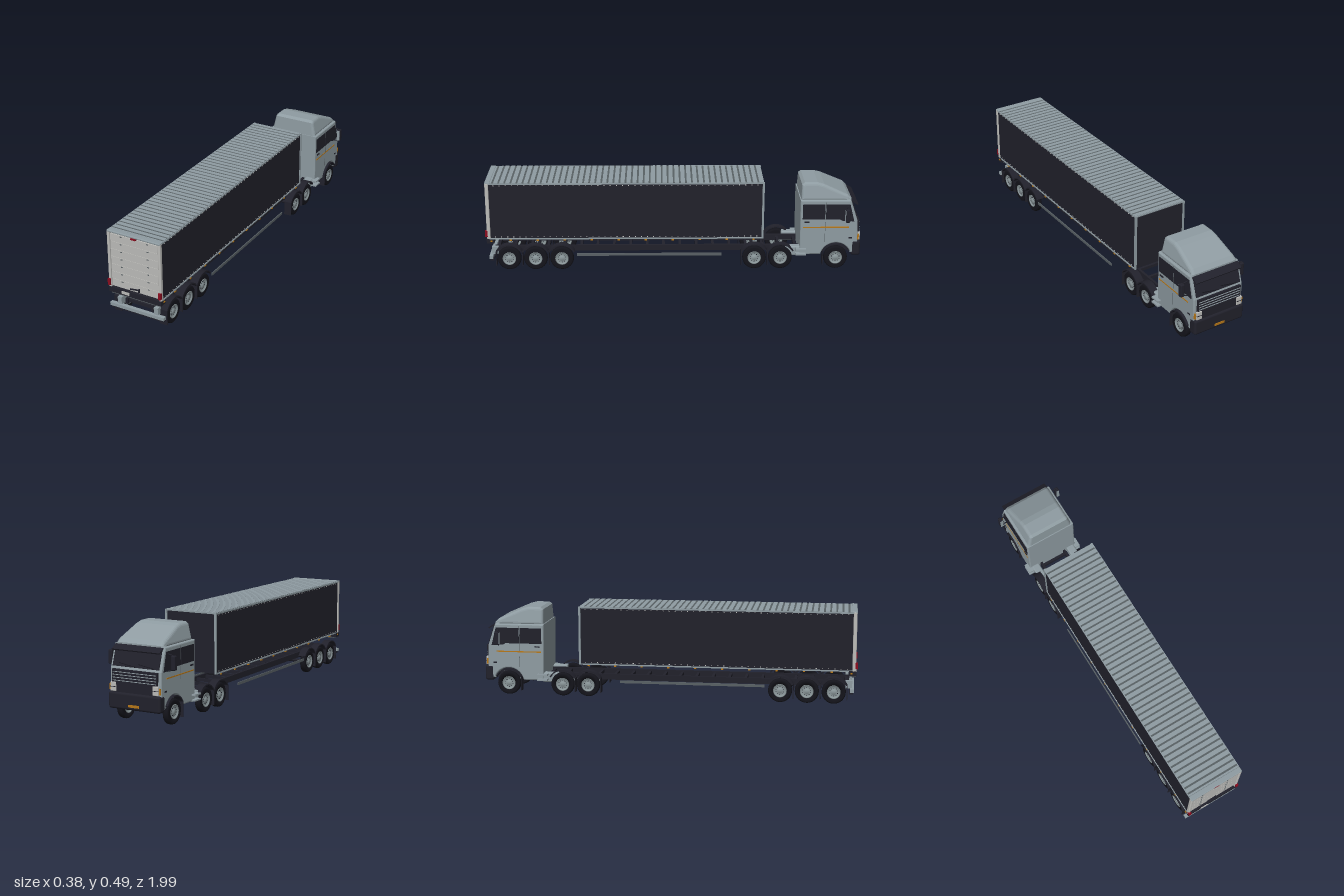
import * as THREE from 'three';
import { RoundedBoxGeometry } from 'three/addons/geometries/RoundedBoxGeometry.js';

const mat = (name, color, side = THREE.FrontSide) => {
  const m = new THREE.MeshStandardMaterial({ color, side });
  m.name = name;
  return m;
};

export function createModel() {
  const paint = mat('greyBluePaint', 0x8f9ca2);
  const dark = mat('darkPanel', 0x21212b);
  const rubber = mat('rubber', 0x14141b);
  const pale = mat('paleDoor', 0xbcbcb9);
  const metal = mat('wheelMetal', 0x8b979a);
  const trim = mat('trimGrey', 0x596165);
  const red = mat('redLamp', 0x8c0c1e);
  const orange = mat('orangeMarker', 0xb87818);

  const root = new THREE.Group();
  root.name = 'articulatedTruck';
  const group = (name) => {
    const g = new THREE.Group();
    g.name = name;
    root.add(g);
    return g;
  };
  const add = (parent, name, geo, material) => {
    const m = new THREE.Mesh(geo, material);
    m.name = name;
    parent.add(m);
    return m;
  };
  // Box given by its limits on each axis
  const box = (parent, name, material, x0, x1, y0, y1, z0, z1, round = 0) => {
    const s = [Math.abs(x1 - x0), y1 - y0, z1 - z0];
    const geo = round ? new RoundedBoxGeometry(...s, 3, round) : new THREE.BoxGeometry(...s);
    const m = add(parent, name, geo, material);
    m.position.set((x0 + x1) / 2, (y0 + y1) / 2, (z0 + z1) / 2);
    return m;
  };
  // Side profile in (z, y), extruded across x
  const acrossX = (shape, width, bevel = 0, segments = 3) => {
    const depth = width - 2 * bevel;
    const geo = new THREE.ExtrudeGeometry(shape, {
      depth, bevelEnabled: bevel > 0, bevelSize: bevel, bevelThickness: bevel,
      bevelOffset: -bevel, bevelSegments: segments, curveSegments: 20,
    });
    return geo.translate(0, 0, -depth / 2).rotateY(-Math.PI / 2);
  };
  const poly = (pts) => new THREE.Shape(pts.map(([z, y]) => new THREE.Vector2(z, y)));
  const rod = (parent, name, material, a, b, r) => {
    const p = new THREE.Vector3(...a), q = new THREE.Vector3(...b);
    const m = add(parent, name, new THREE.CylinderGeometry(r, r, p.distanceTo(q), 8), material);
    m.position.copy(p).add(q).multiplyScalar(0.5);
    m.quaternion.setFromUnitVectors(new THREE.Vector3(0, 1, 0), q.sub(p).normalize());
  };
  const sides = [-1, 1];

  // Cargo box
  const cargo = group('cargoBox');
  box(cargo, 'cargoBody', dark, -0.146, 0.146, 0.177, 0.484, -0.478, 0.965);
  box(cargo, 'roof', paint, -0.149, 0.149, 0.48, 0.487, -0.48, 0.97);
  for (let i = 0; i < 46; i++) {
    const z = -0.465 + i * 0.0316;
    box(cargo, 'roofRib', paint, -0.146, 0.146, 0.486, 0.489, z - 0.011, z + 0.011);
    box(cargo, 'roofGroove', trim, -0.146, 0.146, 0.486, 0.4875, z + 0.011, z + 0.0206);
  }
  for (const s of sides) {
    box(cargo, 'upperRail', paint, s * 0.144, s * 0.15, 0.479, 0.487, -0.48, 0.97);
    box(cargo, 'lowerRail', paint, s * 0.144, s * 0.15, 0.174, 0.181, -0.48, 0.97);
    box(cargo, 'frontPost', paint, s * 0.14, s * 0.15, 0.175, 0.487, -0.483, -0.472);
    box(cargo, 'rearPost', pale, s * 0.136, s * 0.151, 0.175, 0.488, 0.963, 0.983, 0.005);
    box(cargo, 'tailLamp', red, s * 0.138, s * 0.151, 0.19, 0.224, 0.975, 0.992);
    box(cargo, 'rearMarker', orange, s * 0.148, s * 0.154, 0.163, 0.17, 0.955, 0.965);
    for (let i = 0; i < 44; i++) {
      const z = -0.45 + i * 0.0322;
      box(cargo, 'upperBuckle', pale, s * 0.146, s * 0.148, 0.472, 0.475, z, z + 0.006);
      box(cargo, 'lowerBuckle', pale, s * 0.146, s * 0.148, 0.186, 0.189, z, z + 0.006);
    }
    for (let i = 0; i < 10; i++) {
      const z = -0.43 + i * 0.143;
      box(cargo, 'sideMarker', orange, s * 0.145, s * 0.1515, 0.167, 0.174, z - 0.006, z + 0.006);
    }
  }
  box(cargo, 'rearHeader', paint, -0.15, 0.15, 0.48, 0.491, 0.955, 0.984, 0.004);

  // Roller door at the rear
  for (let i = 0; i < 7; i++) {
    const y = 0.183 + i * 0.0413;
    box(cargo, 'doorSlat', pale, -0.136, 0.136, y, y + 0.0398, 0.96, 0.974);
    for (const s of sides) box(cargo, 'doorHinge', trim, s * 0.071, s * 0.08, y + 0.032, y + 0.036, 0.973, 0.977);
  }
  box(cargo, 'topLamp', red, -0.014, 0.014, 0.471, 0.479, 0.97, 0.984);
  box(cargo, 'lockBar', dark, -0.03, 0.02, 0.194, 0.199, 0.974, 0.981).rotation.z = 0.12;
  box(cargo, 'lockPlate', dark, 0.018, 0.024, 0.188, 0.206, 0.974, 0.983);
  box(cargo, 'rearSill', dark, -0.15, 0.15, 0.152, 0.179, 0.945, 0.985);
  box(cargo, 'sillStep', trim, -0.135, 0.135, 0.146, 0.152, 0.95, 0.982);
  box(cargo, 'rearPlate', pale, -0.075, -0.031, 0.159, 0.174, 0.984, 0.988);

  // Ladder chassis
  const chassis = group('chassis');
  for (const s of sides) {
    box(chassis, 'frameRail', dark, s * 0.067, s * 0.08, 0.082, 0.113, -0.95, 0.95);
    box(chassis, 'sideGuard', trim, s * 0.147, s * 0.152, 0.08, 0.094, -0.26, 0.51);
    box(chassis, 'bumperBracket', paint, s * 0.093, s * 0.116, 0.078, 0.119, 0.93, 0.965);
    box(chassis, 'fuelTank', paint, s * 0.09, s * 0.135, 0.07, 0.122, -0.69, -0.6, 0.008);
    for (const y of [0.086, 0.113]) box(chassis, 'sideStep', paint, s * 0.13, s * 0.165, y - 0.004, y + 0.004, -0.71, -0.655);
  }
  for (let i = 0; i < 19; i++) {
    const z = -0.66 + i * 0.0885;
    box(chassis, 'crossMember', dark, -0.07, 0.07, 0.09, 0.106, z - 0.007, z + 0.007);
  }
  box(chassis, 'rearBumper', paint, -0.155, 0.155, 0.065, 0.082, 0.955, 0.975);
  box(chassis, 'bumperUnderside', dark, -0.15, 0.15, 0.055, 0.066, 0.95, 0.97);

  // Wheels with fenders, mud flaps and axles
  const tyreGeo = new THREE.LatheGeometry([
    [0.034, -0.015], [0.055, -0.0165], [0.061, -0.013], [0.063, -0.006], [0.063, 0.006],
    [0.061, 0.013], [0.055, 0.0165], [0.034, 0.015], [0.034, -0.015],
  ].map(([r, h]) => new THREE.Vector2(r, h)), 32).rotateZ(Math.PI / 2);
  const rimGeo = new THREE.LatheGeometry([
    [0, -0.016], [0.012, -0.016], [0.014, -0.01], [0.028, -0.011], [0.032, -0.0165], [0.036, -0.0165],
    [0.036, 0.0165], [0.032, 0.0165], [0.028, 0.011], [0.014, 0.01], [0.012, 0.016], [0, 0.016],
  ].map(([r, h]) => new THREE.Vector2(r, h)), 28).rotateZ(Math.PI / 2);
  const boltGeo = new THREE.CylinderGeometry(0.0022, 0.0022, 0.025, 6).rotateZ(Math.PI / 2);
  const a0 = Math.PI / 6, a1 = Math.PI - a0;
  const arc = new THREE.Shape();
  arc.absarc(0, 0, 0.08, a0, a1, false);
  arc.absarc(0, 0, 0.074, a1, a0, true);
  const fenderGeo = acrossX(arc, 0.042);
  for (const z of [0.87, 0.73, 0.59, -0.436, -0.575, -0.87]) {
    const axle = group('axleSet');
    axle.position.set(0, 0.063, z);
    rod(axle, 'axle', dark, [-0.13, 0, 0], [0.13, 0, 0], 0.009);
    for (const s of sides) {
      const wheel = new THREE.Group();
      wheel.name = 'wheel';
      wheel.position.x = s * 0.131;
      axle.add(wheel);
      add(wheel, 'tyre', tyreGeo, rubber);
      add(wheel, 'rim', rimGeo, metal);
      for (let i = 0; i < 10; i++) {
        const a = i * Math.PI / 5;
        add(wheel, 'wheelBolt', boltGeo, dark).position.set(0, 0.021 * Math.cos(a), 0.021 * Math.sin(a));
      }
      add(axle, 'fender', fenderGeo, dark).position.x = s * 0.132;
      box(axle, 'mudFlap', dark, s * 0.111, s * 0.153, -0.04, 0.04, 0.067, 0.071);
    }
  }

  // Cab body with wheel arches
  const cab = group('cab');
  const body = poly([[-0.678, 0.08], [-0.675, 0.385], [-0.942, 0.385], [-0.98, 0.27], [-0.987, 0.09], [-0.948, 0.09]]);
  body.absarc(-0.87, 0.064, 0.082, Math.PI - 0.3, 0.2, true);
  add(cab, 'cabBody', acrossX(body, 0.29, 0.007), paint);

  // Roof fairing, narrowing upwards and forwards
  const fairing = acrossX(poly([[-0.68, 0.38], [-0.683, 0.462], [-0.697, 0.474], [-0.765, 0.474],
    [-0.8, 0.465], [-0.925, 0.41], [-0.945, 0.39], [-0.945, 0.38]]), 0.272, 0.016, 4);
  const p = fairing.attributes.position;
  for (let i = 0; i < p.count; i++) p.setX(i, p.getX(i) * (1 - 1.6 * (p.getY(i) - 0.38)));
  fairing.computeVertexNormals();
  add(cab, 'roofFairing', fairing, paint);

  // Windscreen, visor and wipers lie along the sloped front
  const front = new THREE.Group();
  front.name = 'windscreenAssembly';
  front.position.set(0, 0.3275, -0.962);
  front.rotation.x = Math.atan2(0.038, 0.115);
  cab.add(front);
  box(front, 'windscreen', dark, -0.131, 0.131, -0.05, 0.05, -0.004, 0.003);
  for (const x of [-0.06, 0.05]) box(front, 'wiper', rubber, x - 0.045, x + 0.045, -0.042, -0.039, -0.008, -0.004).rotation.z = 0.15;
  const visor = box(cab, 'sunVisor', dark, -0.135, 0.135, 0.366, 0.373, -0.982, -0.942);
  visor.rotation.x = -0.55;

  // Grille, bumper and front lamps
  box(cab, 'grille', dark, -0.128, 0.128, 0.155, 0.268, -0.992, -0.975);
  for (const y of [0.212, 0.226, 0.24, 0.254]) box(cab, 'grilleBar', paint, -0.122, 0.122, y, y + 0.003, -0.995, -0.99);
  box(cab, 'frontBumper', dark, -0.147, 0.147, 0.075, 0.158, -1, -0.952, 0.012);
  box(cab, 'frontPlate', orange, -0.03, 0.03, 0.09, 0.103, -1.002, -0.998);
  for (const s of sides) {
    box(cab, 'headlamp', pale, s * 0.104, s * 0.136, 0.16, 0.205, -0.997, -0.985, 0.003);
    box(cab, 'headlampDivider', dark, s * 0.104, s * 0.136, 0.181, 0.184, -0.9985, -0.99);
    box(cab, 'turnLamp', orange, s * 0.137, s * 0.144, 0.165, 0.195, -0.99, -0.982);

    // Side windows and door details
    const pane = (name, pts) => {
      add(cab, name, acrossX(poly(pts), 0.004), dark).position.x = s * 0.1445;
    };
    pane('rearSideWindow', [[-0.688, 0.28], [-0.688, 0.364], [-0.806, 0.364], [-0.806, 0.28]]);
    pane('doorWindow', [[-0.811, 0.28], [-0.811, 0.364], [-0.937, 0.364], [-0.962, 0.268], [-0.9, 0.272], [-0.885, 0.28]]);
    box(cab, 'sideStripe', orange, s * 0.143, s * 0.1465, 0.232, 0.238, -0.935, -0.69);
    box(cab, 'doorHandle', dark, s * 0.143, s * 0.149, 0.26, 0.267, -0.725, -0.698);
    box(cab, 'doorSeam', trim, s * 0.143, s * 0.1457, 0.15, 0.375, -0.81, -0.808);
    box(cab, 'sideVent', dark, s * 0.143, s * 0.1465, 0.17, 0.178, -0.955, -0.935);

    // Mirrors
    box(cab, 'mirrorHousing', dark, s * 0.167, s * 0.19, 0.275, 0.346, -0.935, -0.91, 0.006);
    box(cab, 'mirrorGlass', paint, s * 0.171, s * 0.187, 0.281, 0.341, -0.913, -0.908);
    rod(cab, 'upperMirrorArm', dark, [s * 0.14, 0.354, -0.925], [s * 0.178, 0.344, -0.922], 0.003);
    rod(cab, 'lowerMirrorArm', dark, [s * 0.14, 0.268, -0.925], [s * 0.178, 0.279, -0.922], 0.003);
  }
  return root;
}
